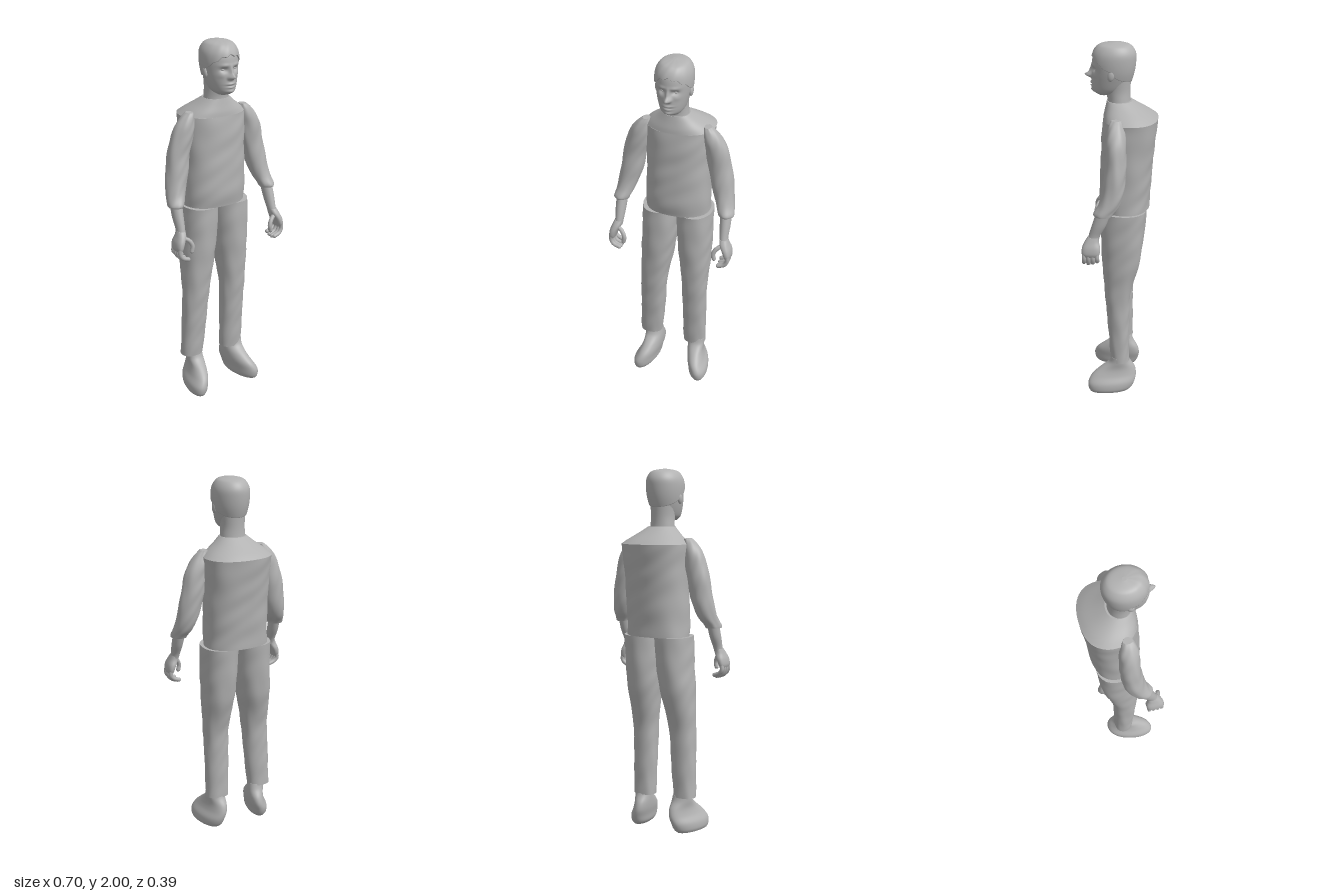
import * as THREE from 'three';

const clay = new THREE.MeshStandardMaterial({ color: 0xb2b2b2 });
clay.name = 'clay grey';

// Smooth interpolation between cross-section rows [y, xMin, xMax, zMin, zMax]
function rowAt(rows, t) {
  const last = rows.length - 1;
  const i = Math.min(Math.floor(t), last - 1);
  const f = t - i;
  const at = k => rows[Math.max(0, Math.min(last, k))];
  return rows[0].map((_, c) => {
    const a = at(i - 1)[c], b = at(i)[c], d = at(i + 1)[c], e = at(i + 2)[c];
    return b + 0.5 * f * (d - a + f * (2 * a - 5 * b + 4 * d - e + f * (3 * (b - d) + e - a)));
  });
}

// Point on the super-ellipse section at row position t
function sectionPoint(rows, t, angle, power = 2) {
  const [y, x0, x1, z0, z1] = rowAt(rows, t);
  const bend = v => Math.sign(v) * Math.abs(v) ** (2 / power);
  return new THREE.Vector3(
    (x0 + x1) / 2 + (x1 - x0) / 2 * bend(Math.cos(angle)), y,
    (z0 + z1) / 2 + (z1 - z0) / 2 * bend(Math.sin(angle)));
}

// Closed tube of stacked rings with flat caps
function rings(pointAt, steps, sides) {
  const pos = [], index = [];
  const addRing = u => {
    const start = pos.length / 3;
    for (let j = 0; j < sides; j++) pos.push(...pointAt(u, j / sides * Math.PI * 2).toArray());
    return start;
  };
  for (let i = 0; i <= steps; i++) addRing(i / steps);
  for (let i = 0; i < steps; i++) for (let j = 0; j < sides; j++) {
    const a = i * sides + j, b = i * sides + (j + 1) % sides;
    index.push(a, a + sides, b, b, a + sides, b + sides);
  }
  for (const u of [0, 1]) {
    const s = addRing(u), c = pos.length / 3, mid = [0, 0, 0];
    for (let j = 0; j < sides; j++) for (let k = 0; k < 3; k++) mid[k] += pos[(s + j) * 3 + k] / sides;
    pos.push(...mid);
    for (let j = 0; j < sides; j++) {
      const a = s + j, b = s + (j + 1) % sides;
      index.push(c, u ? b : a, u ? a : b);
    }
  }
  const geo = new THREE.BufferGeometry();
  geo.setAttribute('position', new THREE.Float32BufferAttribute(pos, 3));
  geo.setIndex(index);
  geo.computeVertexNormals();
  return geo;
}

function loft(rows, { power = 2, sides = 40, detail = 6, warp } = {}) {
  const last = rows.length - 1;
  return rings((u, a) => {
    const p = sectionPoint(rows, u * last, a, power);
    if (warp) warp(p, a);
    return p;
  }, last * detail, sides);
}

// Soft cloth folds
const folds = amount => (p, a) => {
  const w = amount * Math.sin(p.y * 38 + 2 * Math.sin(a * 2 + p.y * 7)) * Math.sin(a * 3 + p.y * 11);
  p.x += w * Math.cos(a);
  p.z += w * Math.sin(a);
};

const mirrorRows = (rows, s) => rows.map(([y, a, b, c, d]) =>
  s > 0 ? [y, 0.005 + a, 0.005 + b, c, d] : [y, 0.005 - b, 0.005 - a, c, d]);

export function createModel() {
  const model = new THREE.Group();
  model.name = 'standingMan';
  const add = (name, geo, parent = model) => {
    const mesh = new THREE.Mesh(geo, clay);
    mesh.name = name;
    parent.add(mesh);
    return mesh;
  };

  // Shirt body and sloping shoulders
  add('shirt', loft([
    [1.1, -0.175, 0.183, -0.15, 0.11], [1.2, -0.173, 0.183, -0.156, 0.12],
    [1.4, -0.17, 0.187, -0.171, 0.112], [1.53, -0.175, 0.192, -0.186, 0.106],
    [1.6, -0.178, 0.197, -0.193, 0.098]], { power: 2.3, sides: 64, detail: 12, warp: folds(0.002) }));
  add('shoulders', loft([
    [1.6, -0.178, 0.197, -0.193, 0.098], [1.625, -0.15, 0.165, -0.16, 0.095],
    [1.66, -0.105, 0.115, -0.105, 0.087], [1.692, -0.068, 0.075, -0.055, 0.08]],
    { power: 2.3, sides: 64 }));

  // Trouser legs
  const legs = {
    rightLeg: [[0.2, -0.22, -0.092, -0.05, 0.055], [0.4, -0.214, -0.072, -0.05, 0.07],
      [0.6, -0.208, -0.055, -0.057, 0.086], [0.8, -0.205, -0.02, -0.108, 0.1],
      [0.95, -0.197, -0.003, -0.125, 0.107], [1.1, -0.193, 0.005, -0.135, 0.108]],
    leftLeg: [[0.18, 0.045, 0.175, -0.05, 0.055], [0.4, 0.042, 0.178, -0.05, 0.07],
      [0.6, 0.038, 0.183, -0.057, 0.086], [0.8, 0.017, 0.196, -0.108, 0.1],
      [0.95, 0.005, 0.2, -0.125, 0.107], [1.1, 0.003, 0.201, -0.135, 0.108]],
  };
  for (const name in legs) add(name, loft(legs[name], { power: 2.2, detail: 10, warp: folds(0.0018) }));

  // Shoes, toes turned outwards
  for (const [name, s, dx] of [['leftShoe', 1, -0.025], ['rightShoe', -1, 0]]) {
    const rows = [
      [0, 0.125, 0.22, -0.05, 0.168], [0.02, 0.112, 0.228, -0.07, 0.178],
      [0.055, 0.107, 0.225, -0.085, 0.18], [0.095, 0.1, 0.205, -0.09, 0.16],
      [0.135, 0.098, 0.195, -0.08, 0.115], [0.175, 0.1, 0.198, -0.055, 0.065],
      [0.21, 0.105, 0.2, -0.045, 0.05]];
    add(name, loft(mirrorRows(rows, s), { power: 2.1, warp: p => {
      p.x += dx + s * 0.17 * (p.z - 0.04);
    } }));
  }

  // Arms: sleeve, forearm, palm, fingers and thumb
  for (const [side, s] of [['left', 1], ['right', -1]]) {
    const arm = new THREE.Group();
    arm.name = side + 'Arm';
    model.add(arm);
    add('sleeve', loft(mirrorRows([
      [1.15, 0.255, 0.338, 0.025, 0.12], [1.165, 0.25, 0.338, 0.015, 0.122],
      [1.21, 0.228, 0.33, -0.015, 0.1], [1.3, 0.196, 0.318, -0.037, 0.08],
      [1.4, 0.176, 0.303, -0.042, 0.068], [1.5, 0.155, 0.28, -0.04, 0.066],
      [1.56, 0.145, 0.253, -0.034, 0.064], [1.605, 0.145, 0.218, -0.02, 0.054],
      [1.63, 0.15, 0.188, -0.01, 0.042]], s), { warp: folds(0.0025) }), arm);
    add('forearm', loft(mirrorRows([
      [1.0, 0.28, 0.325, 0.1, 0.162], [1.04, 0.274, 0.322, 0.088, 0.15],
      [1.1, 0.268, 0.326, 0.056, 0.132], [1.18, 0.262, 0.325, 0.03, 0.105]], s), { sides: 24 }), arm);
    add('palm', loft(mirrorRows([
      [0.925, 0.315, 0.342, 0.1, 0.178], [0.945, 0.308, 0.348, 0.09, 0.186],
      [0.975, 0.296, 0.344, 0.088, 0.184], [1.005, 0.282, 0.332, 0.096, 0.172],
      [1.03, 0.278, 0.322, 0.096, 0.155]], s), { power: 2.5, sides: 24 }), arm);

    const digit = (name, pts, r) => {
      const path = pts.map(([x, y, z]) => new THREE.Vector3(0.005 + s * x, y, z));
      add(name, new THREE.TubeGeometry(new THREE.CatmullRomCurve3(path), 10, r, 10), arm);
      add(name + 'Tip', new THREE.SphereGeometry(r, 10, 8), arm).position.copy(path.at(-1));
    };
    for (let i = 0; i < 4; i++) {
      const z = 0.104 + i * 0.023, drop = [0.012, 0.003, 0, 0.006][i];
      digit('finger' + (i + 1), [[0.33, 0.95, z], [0.333, 0.915, z],
        [0.318, 0.885 + drop, z + 0.002], [0.285, 0.872 + drop, z + 0.003]], 0.0115);
    }
    digit('thumb', [[0.298, 0.995, 0.15], [0.268, 0.975, 0.165],
      [0.255, 0.945, 0.172], [0.26, 0.918, 0.172]], 0.012);
  }

  // Neck
  add('neck', loft([
    [1.66, -0.07, 0.075, -0.05, 0.082], [1.7, -0.066, 0.07, -0.045, 0.078],
    [1.75, -0.064, 0.067, -0.044, 0.085], [1.82, -0.07, 0.073, -0.048, 0.09]]));

  // Head with sculpted face
  const skull = [
    [1.725, -0.035, 0.04, 0.065, 0.125], [1.74, -0.054, 0.058, 0.0, 0.15],
    [1.76, -0.066, 0.07, -0.025, 0.158], [1.8, -0.079, 0.082, -0.045, 0.16],
    [1.85, -0.089, 0.093, -0.06, 0.157], [1.9, -0.093, 0.097, -0.067, 0.157],
    [1.94, -0.089, 0.093, -0.066, 0.149], [1.97, -0.073, 0.078, -0.05, 0.13],
    [1.985, -0.052, 0.057, -0.025, 0.104], [1.993, -0.008, 0.012, 0.03, 0.05]];
  // Each bump: x, y, height, width, length
  const bumps = [
    [0, 1.827, 0.033, 0.014, 0.013], [0, 1.852, 0.015, 0.009, 0.024],
    [0, 1.787, 0.008, 0.024, 0.006], [0, 1.771, 0.007, 0.02, 0.006],
    [0, 1.779, -0.006, 0.026, 0.004], [0, 1.747, 0.008, 0.022, 0.012]];
  for (const s of [-1, 1]) bumps.push(
    [s * 0.034, 1.862, -0.015, 0.018, 0.011], [s * 0.034, 1.885, 0.005, 0.024, 0.008],
    [s * 0.013, 1.822, 0.012, 0.008, 0.008], [s * 0.048, 1.833, 0.004, 0.018, 0.014]);
  const head = new THREE.Group();
  head.name = 'head';
  model.add(head);
  add('face', loft(skull, { sides: 112, detail: 9, warp: (p, a) => {
    if (Math.sin(a) < 0.2) return;
    const x = p.x - 0.002, y = p.y;
    for (const [bx, by, h, w, l] of bumps)
      p.z += h * Math.exp(-(((x - bx) / w) ** 2) - ((y - by) / l) ** 2);
  } }), head);
  for (const s of [-1, 1]) {
    const eye = add('eye', new THREE.SphereGeometry(0.013, 16, 12), head);
    eye.position.set(0.002 + s * 0.034, 1.861, 0.126);
    eye.scale.set(1.1, 0.6, 1);
    const ear = add('ear', new THREE.SphereGeometry(1, 16, 12), head);
    ear.position.set(0.002 + s * 0.09, 1.842, 0.05);
    ear.scale.set(0.012, 0.03, 0.018);
    ear.rotation.x = -0.2;
  }

  // Hair cap with an uneven fringe
  const centre = new THREE.Vector3(0.002, 1.87, 0.045);
  add('hair', rings((u, a) => {
    const f = Math.sin(a);
    const edge = f > 0 ? 4.2 + 1.6 * f ** 1.5 + 0.12 * f * Math.sin(a * 13) : 4.2 - 1.2 * Math.sqrt(-f);
    const t = edge + (9 - edge) * Math.max(0, (u - 0.04) / 0.96);
    const p = sectionPoint(skull, t, a).sub(centre);
    const lock = 0.008 * Math.max(0, f) * Math.sin(a * 11 + u * 6) * (1 - u);
    return p.multiplyScalar((u === 0 ? 0.98 : 1.06) + lock).add(centre);
  }, 40, 96), head);

  return model;
}
